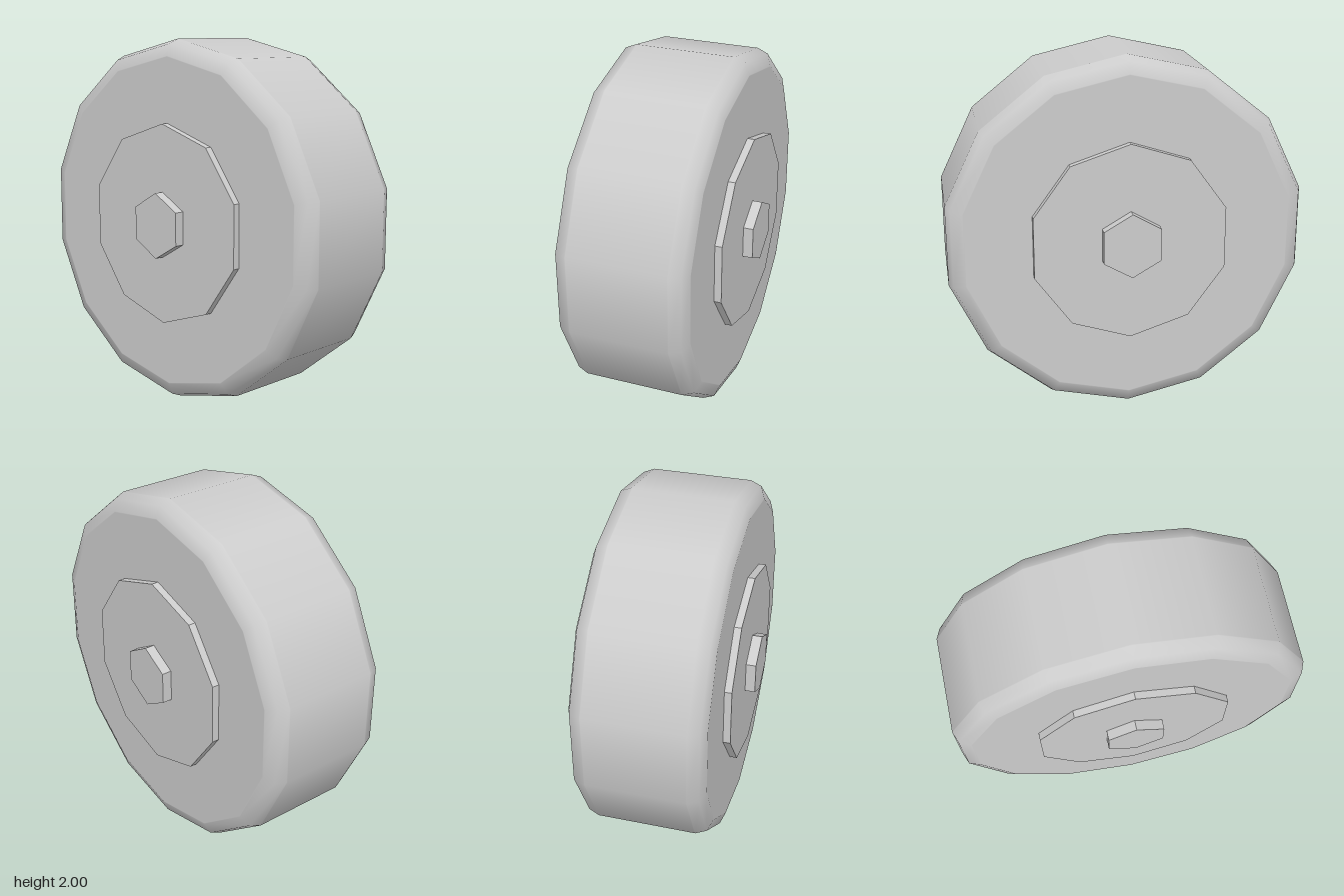
import * as THREE from 'three';
import { toCreasedNormals } from 'three/addons/utils/BufferGeometryUtils.js';

const grey = new THREE.MeshStandardMaterial({ color: 0xcccccc });
grey.name = 'light grey';

// Flat-sided disc along z with a corner at the top
function disc(name, radius, sides, z0, z1) {
  const geometry = new THREE.CylinderGeometry(radius, radius, z1 - z0, sides);
  geometry.rotateX(-Math.PI / 2);
  const mesh = new THREE.Mesh(toCreasedNormals(geometry, 0.3), grey);
  mesh.name = name;
  mesh.position.z = (z0 + z1) / 2;
  return mesh;
}

export function createModel() {
  const model = new THREE.Group();
  model.name = 'wheel';

  // Tyre: solid 14-sided roller with rounded shoulders; close point pairs keep the flats flat
  const half = [
    [0, 0.36], [0.905, 0.36], [0.91, 0.36], [0.975, 0.335], [1, 0.275], [1, 0.27],
  ];
  const profile = [
    ...half.map(([r, z]) => new THREE.Vector2(r, -z)),
    ...half.map(([r, z]) => new THREE.Vector2(r, z)).reverse(),
  ];
  const tyreGeometry = new THREE.LatheGeometry(profile, 14);
  tyreGeometry.rotateX(-Math.PI / 2);
  const tyre = new THREE.Mesh(tyreGeometry, grey);
  tyre.name = 'tyre';
  model.add(tyre);

  // Hub plate and hexagonal axle nut on each side
  for (const [side, s] of [['front', 1], ['back', -1]]) {
    const plate = disc(side + 'HubPlate', 0.55, 10, 0.34, 0.4);
    const nut = disc(side + 'AxleNut', 0.18, 6, 0.38, 0.455);
    for (const part of [plate, nut]) {
      part.position.z *= s;
      model.add(part);
    }
  }

  model.position.y = 1;
  const root = new THREE.Group();
  root.add(model);
  return root;
}
